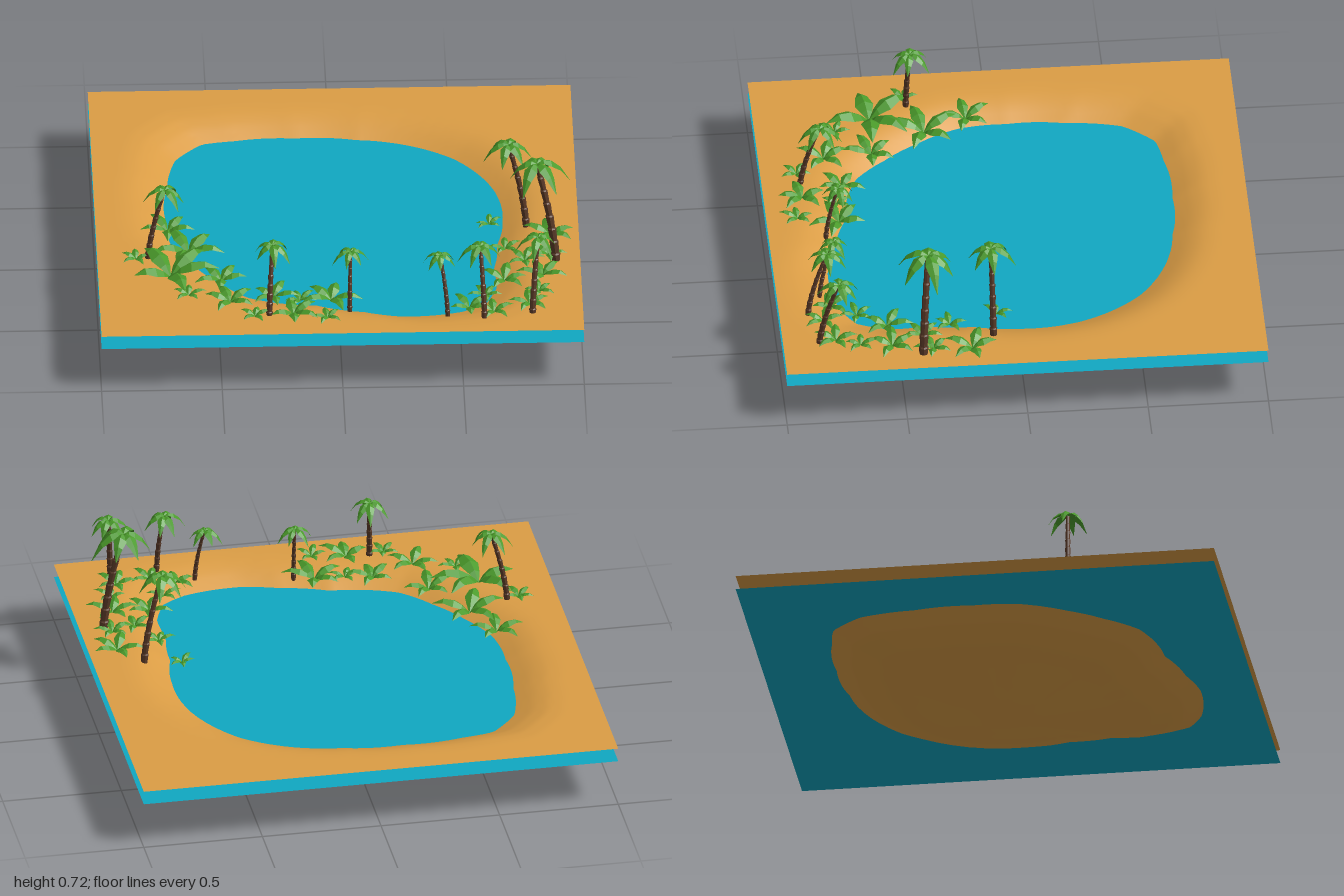
import * as THREE from 'three';

const SAND_Y = 0.262, WATER_Y = 0.203;
const mat = (color, flatShading) => new THREE.MeshStandardMaterial({ color, flatShading, side: THREE.DoubleSide, roughness: 0.9 });
const sandMat = mat(0xdb9d45, false), waterMat = mat(0x10a8c2, false);
const barkMat = mat(0x5a3a28, true), leafMat = mat(0x4a9a2a, true);

let seed = 7;
const rand = () => (seed = (seed * 16807) % 2147483647) / 2147483647;

// Piecewise-linear lookup in [[key, value], ...]
function lookup(table, k) {
  for (let i = 1; i < table.length; i++) {
    const [a, va] = table[i - 1], [b, vb] = table[i];
    if (k <= b) return va + (vb - va) * Math.max(0, (k - a) / (b - a));
  }
  return table[table.length - 1][1];
}

// Shoreline outline (x, z), turned into radius by angle
const shore = [
  [0.69, 0], [0.66, 0.2], [0.64, 0.4], [0.65, 0.55], [0.6, 0.68], [0.5, 0.74], [0.38, 0.765], [0.25, 0.77],
  [0.1, 0.73], [-0.1, 0.67], [-0.38, 0.6], [-0.5, 0.47], [-0.6, 0.33], [-0.69, 0.15], [-0.705, -0.05],
  [-0.69, -0.3], [-0.65, -0.53], [-0.54, -0.655], [-0.4, -0.68], [-0.15, -0.695], [0.1, -0.675],
  [0.3, -0.63], [0.5, -0.51], [0.6, -0.38], [0.66, -0.25],
].map(([x, z]) => [(Math.atan2(z, x) + 2 * Math.PI) % (2 * Math.PI), Math.hypot(x, z)]);
shore.push([2 * Math.PI, shore[0][1]]);

// Basin height against distance from the middle (1 = shoreline)
const basin = [[0, 0], [0.08, 0.005], [0.16, 0.018], [0.3, 0.044], [0.55, 0.09], [0.72, 0.12], [0.88, 0.157],
  [1, WATER_Y], [1.1, 0.238], [1.18, 0.256], [1.26, SAND_Y]];

function groundHeight(x, z) {
  const angle = (Math.atan2(z, x) + 2 * Math.PI) % (2 * Math.PI);
  return lookup(basin, Math.hypot(x, z) / lookup(shore, angle));
}

function makeSand() {
  const geo = new THREE.PlaneGeometry(2, 2, 80, 80).rotateX(-Math.PI / 2);
  const p = geo.attributes.position;
  for (let i = 0; i < p.count; i++) {
    const x = p.getX(i), z = p.getZ(i);
    const edge = Math.max(Math.abs(x), Math.abs(z)) > 0.99;
    p.setY(i, edge ? SAND_Y : groundHeight(x, z));
  }
  geo.computeVertexNormals();
  return new THREE.Mesh(geo, sandMat);
}

// Star of folded, tapering leaves: rise and droop shape the arch y = r(rise u - droop u^2)
function leafStar(r, count, rise, droop, width) {
  const stations = [[0, 0.05], [0.2, 0.6], [0.42, 1], [0.7, 0.65], [1, 0.03]];
  const pos = [], idx = [], spin = rand() * Math.PI * 2;
  for (let n = 0; n < count; n++) {
    const a = spin + (n + (rand() - 0.5) * 0.4) * 2 * Math.PI / count;
    const len = r * (0.85 + rand() * 0.3), c = Math.cos(a), s = Math.sin(a);
    const first = pos.length / 3;
    stations.forEach(([u, k], j) => {
      const y = len * (rise * u - droop * u * u);
      for (const side of [-1, 0, 1]) {
        const w = side * k * width * r;
        pos.push(c * u * len - s * w, y - Math.abs(w) * 0.55, s * u * len + c * w);
      }
      if (!j) return;
      for (const m of [0, 1]) {
        const p = first + (j - 1) * 3 + m, q = p + 3;
        idx.push(p, p + 1, q, p + 1, q + 1, q);
      }
    });
  }
  const geo = new THREE.BufferGeometry();
  geo.setAttribute('position', new THREE.Float32BufferAttribute(pos, 3));
  geo.setIndex(idx);
  geo.computeVertexNormals();
  return new THREE.Mesh(geo, leafMat);
}

// Palm with a ringed trunk that bends from its base to its crown
function makePalm(bx, by, bz, cx, cy, cz, radius, crownR) {
  const palm = new THREE.Group(), h = cy - by, rings = 8, profile = [new THREE.Vector2(0, 0)];
  for (let i = 0; i < rings; i++) {
    const r = radius * (1 - 0.4 * i / rings);
    profile.push(new THREE.Vector2(r * 0.82, h * i / rings), new THREE.Vector2(r, h * (i + 0.9) / rings));
  }
  profile.push(new THREE.Vector2(0, h));
  const geo = new THREE.LatheGeometry(profile, 8);
  const p = geo.attributes.position;
  for (let i = 0; i < p.count; i++) {
    const s = Math.pow(Math.max(0, p.getY(i) / h), 1.5);
    p.setX(i, p.getX(i) + (cx - bx) * s);
    p.setZ(i, p.getZ(i) + (cz - bz) * s);
  }
  geo.computeVertexNormals();
  const trunk = new THREE.Mesh(geo, barkMat);
  trunk.name = 'palmTrunk';
  const crown = leafStar(crownR, 6, 0.75, 1.45, 0.23);
  crown.name = 'palmCrown';
  crown.position.set(cx - bx, h, cz - bz);
  palm.add(trunk, crown);
  palm.position.set(bx, by, bz);
  palm.name = 'palmTree';
  return palm;
}

export function createModel() {
  const model = new THREE.Group();

  const sand = makeSand();
  sand.name = 'sandBasin';
  const water = new THREE.Mesh(new THREE.PlaneGeometry(2, 2).rotateX(-Math.PI / 2), waterMat);
  water.name = 'water';
  water.position.y = WATER_Y;
  model.add(sand, water);

  // Palms: base x, y, z; crown x, y, z; trunk radius; crown radius
  const palms = [
    [-0.79, 0.25, 0.36, -0.72, 0.58, 0.35, 0.014, 0.085],
    [-0.30, 0.24, 0.84, -0.285, 0.55, 0.76, 0.014, 0.085],
    [0.035, 0.22, 0.76, 0.04, 0.485, 0.71, 0.011, 0.07],
    [0.44, 0.23, 0.82, 0.41, 0.49, 0.76, 0.011, 0.07],
    [0.59, 0.25, 0.88, 0.575, 0.555, 0.8, 0.013, 0.085],
    [0.785, 0.24, 0.125, 0.71, 0.645, 0.13, 0.016, 0.1],
    [0.90, 0.24, 0.425, 0.82, 0.71, 0.40, 0.02, 0.125],
    [0.79, 0.24, 0.85, 0.815, 0.575, 0.77, 0.015, 0.085],
  ];
  palms.forEach(v => model.add(makePalm(...v)));

  // Low ferns round the shore: x, z, radius
  const ferns = [
    [-0.7, 0.12, 0.11], [-0.62, 0.3, 0.14], [-0.84, 0.37, 0.07], [-0.7, 0.52, 0.18], [-0.63, 0.67, 0.07],
    [-0.49, 0.53, 0.11], [-0.46, 0.73, 0.11], [-0.36, 0.85, 0.07], [-0.28, 0.67, 0.1], [-0.2, 0.84, 0.11],
    [-0.17, 0.7, 0.07], [-0.04, 0.7, 0.12], [-0.06, 0.87, 0.07], [0.53, 0.78, 0.09], [0.6, 0.68, 0.07],
    [0.63, 0.82, 0.08], [0.68, 0.56, 0.1], [0.78, 0.78, 0.09], [0.84, 0.55, 0.1], [0.82, 0.68, 0.07],
    [0.88, 0.22, 0.11], [0.69, 0.3, 0.07], [0.77, 0.42, 0.08], [0.87, 0.38, 0.08], [0.63, 0.1, 0.06],
  ];
  for (const [x, z, r] of ferns) {
    const fern = leafStar(r, 5, 1.25, 1.05, 0.22);
    fern.name = 'fern';
    fern.position.set(x, Math.max(groundHeight(x, z), 0.245), z);
    model.add(fern);
  }
  return model;
}
